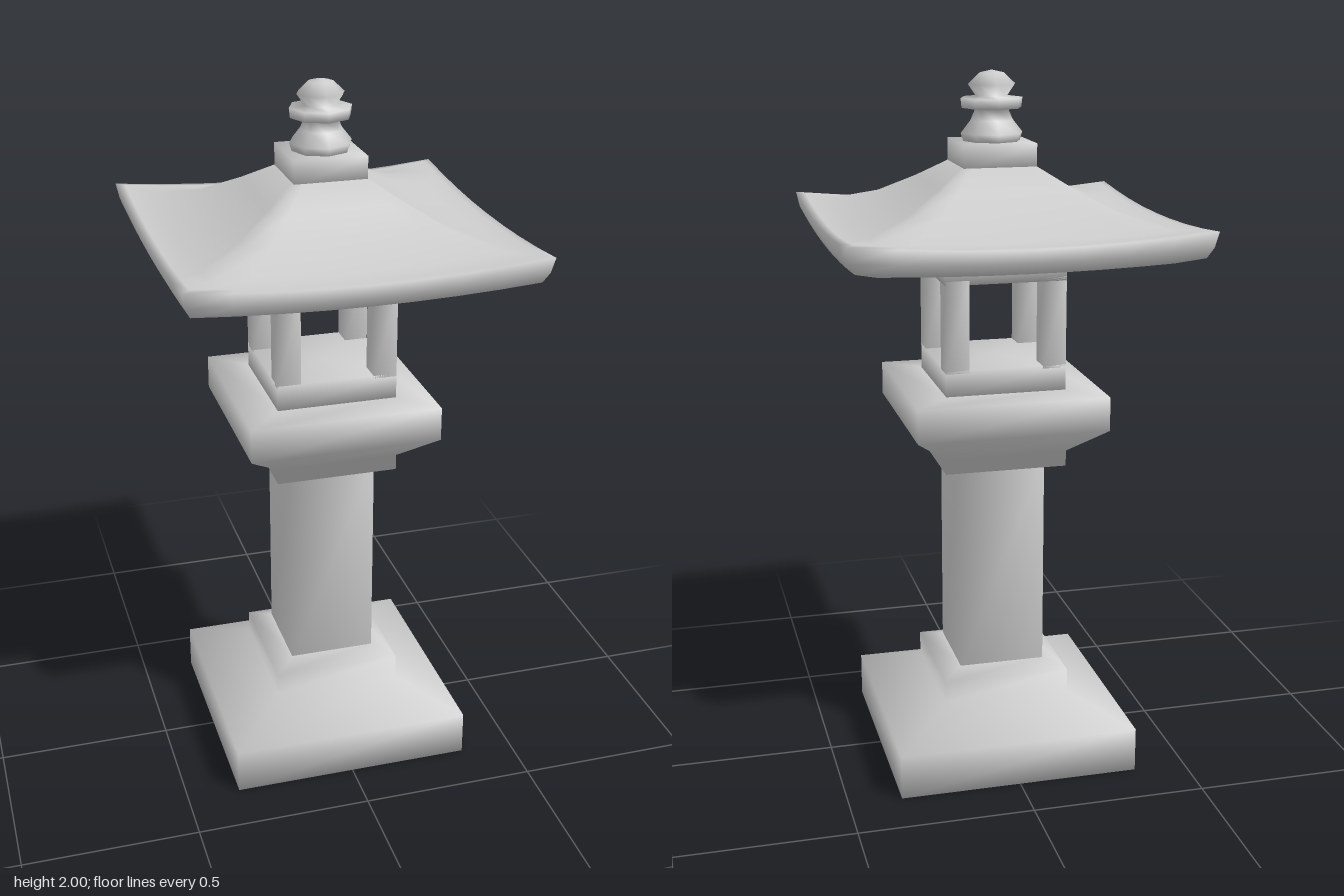
import * as THREE from 'three';

const material = new THREE.MeshStandardMaterial({ color: 0xcccccc });

// Square loft with shared, smooth vertices. Each ring is [halfWidth, y, cornerLift],
// listed from bottom to top; the ends are closed with a fan.
function squareLoft(rings, segments = 1) {
  const corners = [[1, 1], [1, -1], [-1, -1], [-1, 1]];
  const count = 4 * segments;
  const positions = [];
  const index = [];
  for (const [r, y, lift = 0] of rings) {
    for (let side = 0; side < 4; side++) {
      const [ax, az] = corners[side];
      const [bx, bz] = corners[(side + 1) % 4];
      for (let s = 0; s < segments; s++) {
        const t = s / segments;
        const rise = lift * Math.abs(2 * t - 1) ** 2;
        positions.push(r * (ax + (bx - ax) * t), y + rise, r * (az + (bz - az) * t));
      }
    }
  }
  for (let i = 0; i < rings.length - 1; i++) {
    for (let j = 0; j < count; j++) {
      const k = (j + 1) % count;
      const a = i * count + j, b = i * count + k;
      index.push(a, b, b + count, a, b + count, a + count);
    }
  }
  const last = (rings.length - 1) * count;
  const bottom = rings.length * count;
  positions.push(0, rings[0][1], 0, 0, rings[rings.length - 1][1], 0);
  for (let j = 0; j < count; j++) {
    const k = (j + 1) % count;
    index.push(bottom, k, j, bottom + 1, last + j, last + k);
  }
  const geometry = new THREE.BufferGeometry();
  geometry.setAttribute('position', new THREE.Float32BufferAttribute(positions, 3));
  geometry.setIndex(index);
  geometry.computeVertexNormals();
  return geometry;
}

export function createModel() {
  const model = new THREE.Group();
  model.name = 'stoneLantern';

  function add(name, geometry, parent = model) {
    const mesh = new THREE.Mesh(geometry, material);
    mesh.name = name;
    parent.add(mesh);
    return mesh;
  }

  // Stepped foot, square shaft and flared platform
  add('base', squareLoft([
    [0.348, 0], [0.348, 0.13], [0.185, 0.2], [0.185, 0.265], [0.125, 0.285],
  ]));
  add('pillar', squareLoft([[0.125, 0.27], [0.125, 0.91]]));
  add('platform', squareLoft([
    [0.125, 0.89], [0.175, 0.9], [0.175, 0.945], [0.273, 1.025], [0.273, 1.122], [0.172, 1.125],
  ]));

  // Fire box: sill, four corner posts and lintel around open windows
  const fireBox = new THREE.Group();
  fireBox.name = 'fireBox';
  model.add(fireBox);
  add('sill', squareLoft([[0.172, 1.12], [0.172, 1.198]]), fireBox);
  add('lintel', squareLoft([[0.172, 1.438], [0.172, 1.505]]), fireBox);
  const postGeometry = squareLoft([[0.0335, 1.19], [0.0335, 1.45]]);
  for (const x of [-1, 1]) {
    for (const z of [-1, 1]) {
      add('cornerPost', postGeometry, fireBox).position.set(x * 0.1385, 0, z * 0.1385);
    }
  }

  // Concave roof with upturned corners
  add('roof', squareLoft([
    [0.17, 1.5], [0.22, 1.5], [0.4, 1.507, 0.01], [0.465, 1.522, 0.018],
    [0.48, 1.55, 0.02], [0.489, 1.587, 0.026], [0.465, 1.588, 0.026],
    [0.4, 1.59, 0.014], [0.275, 1.638, 0.004], [0.18, 1.695], [0.103, 1.745],
  ], 8));
  add('roofNeck', squareLoft([[0.103, 1.735], [0.103, 1.808]]));

  // Eight-sided finial
  const finial = [
    [0, 1.8], [0.08, 1.805], [0.088, 1.83], [0.06, 1.865], [0.047, 1.895],
    [0.085, 1.898], [0.088, 1.925], [0.045, 1.93], [0.067, 1.962], [0.035, 1.992], [0, 2],
  ].map(([r, y]) => new THREE.Vector2(r, y));
  add('finial', new THREE.LatheGeometry(finial, 8));

  return model;
}
